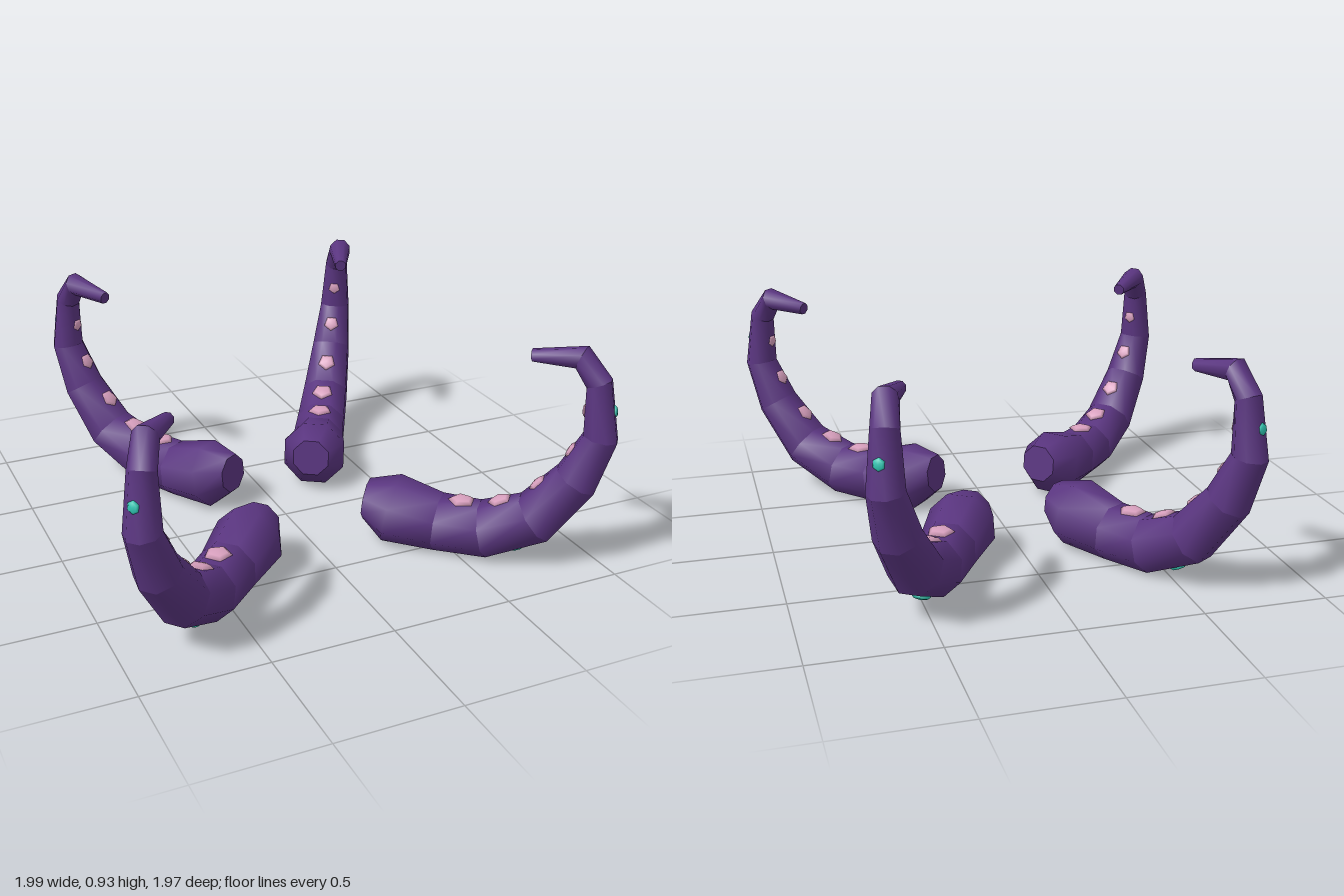
import * as THREE from 'three';

const SIDES = 8;
const material = (name, color) => Object.assign(new THREE.MeshStandardMaterial({ color }), { name });

// Centre line of one tentacle: [outward, up, sideways, radius]
const RINGS = [
  [0.0, 0.18, 0.0, 0.085],
  [0.11, 0.152, 0.0, 0.146],
  [0.31, 0.122, 0.008, 0.122],
  [0.5, 0.125, 0.02, 0.119],
  [0.7, 0.212, 0.024, 0.11],
  [0.848, 0.4, 0.018, 0.092],
  [0.925, 0.59, 0.012, 0.071],
  [0.9, 0.81, 0.005, 0.053],
  [0.825, 0.9, -0.02, 0.05],
  [0.635, 0.878, -0.046, 0.026],
];
// First and last ring of every segment
const SEGMENTS = [[0, 2], [2, 3], [3, 4], [4, 5], [5, 6], [6, 7], [7, 8], [8, 9]];
// Inner suckers: [segment, radius]
const SUCKERS = [[1, 0.056], [2, 0.051], [3, 0.042], [4, 0.036], [5, 0.028]];
// Outer spots: [segment, radius]
const SPOTS = [[2, 0.038], [5, 0.025]];

// Ring centres with their tangent, inner normal and binormal
function makeFrames(flip) {
  const centres = RINGS.map(([s, y, l]) => new THREE.Vector3(s, y, l * flip));
  return centres.map((c, i) => {
    const prev = centres[Math.max(i - 1, 0)];
    const next = centres[Math.min(i + 1, centres.length - 1)];
    const t = i === 0
      ? new THREE.Vector3(1, -0.1, 0).normalize()
      : next.clone().sub(c).normalize().add(c.clone().sub(prev).normalize()).normalize();
    const n = new THREE.Vector3(0, 0, 1).cross(t).normalize();
    return { c, t, n, b: t.clone().cross(n), r: RINGS[i][3] };
  });
}

// Closed tube through a run of rings, with flat end caps
function segmentGeometry(frames) {
  const positions = [];
  const index = [];
  const addRing = ({ c, n, b, r }) => {
    const start = positions.length / 3;
    for (let j = 0; j < SIDES; j++) {
      const a = ((j + 0.5) / SIDES) * Math.PI * 2;
      const p = c.clone().addScaledVector(n, r * Math.cos(a)).addScaledVector(b, r * Math.sin(a));
      positions.push(p.x, p.y, p.z);
    }
    return start;
  };
  const starts = frames.map(addRing);
  for (let i = 0; i < starts.length - 1; i++) {
    for (let j = 0; j < SIDES; j++) {
      const k = (j + 1) % SIDES;
      const [a, b, c, d] = [starts[i] + j, starts[i] + k, starts[i + 1] + j, starts[i + 1] + k];
      index.push(a, b, c, b, d, c);
    }
  }
  const first = addRing(frames[0]);
  const last = addRing(frames[frames.length - 1]);
  for (let j = 1; j < SIDES - 1; j++) {
    index.push(first, first + j + 1, first + j);
    index.push(last, last + j, last + j + 1);
  }
  const geometry = new THREE.BufferGeometry();
  geometry.setAttribute('position', new THREE.Float32BufferAttribute(positions, 3));
  geometry.setIndex(index);
  geometry.computeVertexNormals();
  return geometry;
}

function makeTentacle(name, flip, mats) {
  const group = new THREE.Group();
  group.name = name;
  const frames = makeFrames(flip);

  SEGMENTS.forEach(([a, b], i) => {
    const mesh = new THREE.Mesh(segmentGeometry(frames.slice(a, b + 1)), mats.skin);
    mesh.name = i === 0 ? 'base' : i === SEGMENTS.length - 1 ? 'tip' : `segment${i}`;
    group.add(mesh);
  });

  // Flattened knob on the inner (+1) or outer (-1) face of a segment
  const addKnob = (label, seg, radius, side, sides, flatness, mat) => {
    const [a, b] = SEGMENTS[seg].map((i) => frames[i]);
    const axis = b.c.clone().sub(a.c).normalize();
    const normal = new THREE.Vector3(0, 0, 1).cross(axis).normalize();
    const apothem = ((a.r + b.r) / 2) * Math.cos(Math.PI / SIDES);
    // Rest the knob on the sloping wall of the tapered segment
    const slope = (a.r - b.r) / a.c.distanceTo(b.c);
    const out = normal.clone().multiplyScalar(side).addScaledVector(axis, slope).normalize();
    const mesh = new THREE.Mesh(new THREE.SphereGeometry(radius, sides, 4), mat);
    mesh.scale.y = flatness;
    mesh.position.copy(a.c).lerp(b.c, 0.5).addScaledVector(normal, side * apothem);
    mesh.quaternion.setFromUnitVectors(new THREE.Vector3(0, 1, 0), out);
    mesh.name = label;
    group.add(mesh);
  };
  SUCKERS.forEach(([seg, r], i) => addKnob(`sucker${i + 1}`, seg, r, 1, 5, 0.32, mats.sucker));
  SPOTS.forEach(([seg, r], i) => addKnob(`spot${i + 1}`, seg, r, -1, 6, 0.4, mats.spot));
  return group;
}

export function createModel() {
  const model = new THREE.Group();
  model.name = 'tentacles';
  const mats = {
    skin: material('purple skin', 0x5a3580),
    sucker: material('pink sucker', 0xd8a0be),
    spot: material('teal spot', 0x2fc4b0),
  };
  // Base position and outward direction of the front and back pairs
  const pairs = [
    { name: 'front', x: 0.238, z: 0.294, angle: Math.atan2(0.656, 0.755) },
    { name: 'back', x: 0.187, z: -0.145, angle: -Math.atan2(0.84, 0.545) },
  ];
  for (const { name, x, z, angle } of pairs) {
    for (const side of [1, -1]) {
      const flip = side * Math.sign(z);
      const tentacle = makeTentacle(`${name}${side > 0 ? 'Left' : 'Right'}Tentacle`, flip, mats);
      tentacle.position.set(side * x, 0, z);
      tentacle.rotation.y = side > 0 ? -angle : angle - Math.PI;
      model.add(tentacle);
    }
  }
  return model;
}
